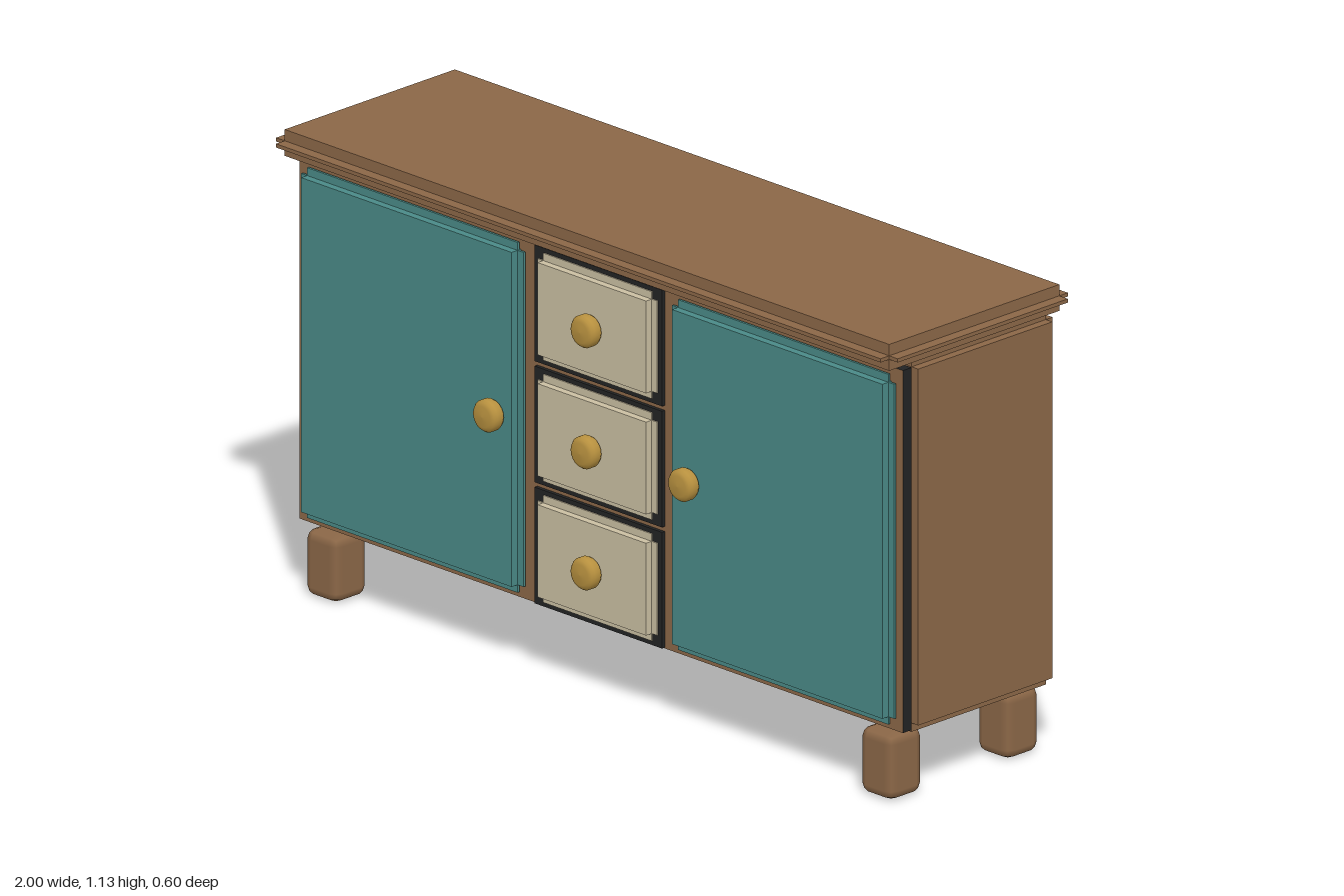
import * as THREE from 'three';
import { RoundedBoxGeometry } from 'three/addons/geometries/RoundedBoxGeometry.js';

const mat = (name, color) => {
  const m = new THREE.MeshStandardMaterial({ color });
  m.name = name;
  return m;
};

export function createModel() {
  const wood = mat('brown wood', 0x8b6747);
  const teal = mat('teal paint', 0x4a8a87);
  const cream = mat('cream paint', 0xcabfa2);
  const dark = mat('dark trim', 0x222324);
  const brass = mat('brass', 0xb8913f);

  const root = new THREE.Group();
  root.name = 'sideboard';

  const add = (name, geometry, material, x, y, z, parent = root) => {
    const mesh = new THREE.Mesh(geometry, material);
    mesh.name = name;
    mesh.position.set(x, y, z);
    parent.add(mesh);
    return mesh;
  };

  // Panel with stepped edges: three crossing boxes, each full size along one axis
  const steppedPanel = (name, material, [w, h, d], [x, y, z], step) => {
    const group = new THREE.Group();
    group.name = name;
    group.position.set(x, y, z);
    const s = 2 * step;
    add(name + 'Sides', new THREE.BoxGeometry(w, h - s, d - s), material, 0, 0, 0, group);
    add(name + 'Ends', new THREE.BoxGeometry(w - s, h, d - s), material, 0, 0, 0, group);
    add(name + 'Faces', new THREE.BoxGeometry(w - s, h - s, d), material, 0, 0, 0, group);
    root.add(group);
  };

  // Carcass and table top
  steppedPanel('carcass', wood, [1.944, 0.907, 0.472], [0, 0.6135, -0.036], 0.021);
  steppedPanel('top', wood, [2, 0.064, 0.6], [0, 1.099, 0], 0.0275);

  // Face frame: brown front with dark edges
  add('faceFrame', new THREE.BoxGeometry(1.942, 0.88, 0.028),
    [dark, dark, dark, dark, wood, dark], 0, 0.615, 0.213);

  // Turned knob, axis along +z
  const knobProfile = [[0, 0], [0.026, 0], [0.035, 0.005], [0.039, 0.012], [0.039, 0.028],
    [0.034, 0.035], [0.025, 0.039], [0, 0.041]].map(([r, y]) => new THREE.Vector2(r, y));
  const knobGeometry = new THREE.LatheGeometry(knobProfile, 20).rotateX(Math.PI / 2);
  const knob = (name, x, y) => add(name, knobGeometry, brass, x, y, 0.256);

  // Doors
  for (const [side, s] of [['left', 1], ['right', -1]]) {
    steppedPanel(side + 'Door', teal, [0.715, 0.85, 0.044], [s * 0.5965, 0.614, 0.235], 0.019);
    knob(side + 'DoorKnob', s * 0.314, 0.615);
  }

  // Drawers with dark surrounds
  [0.318, 0.612, 0.906].forEach((y, i) => {
    const n = 'drawer' + (i + 1);
    add(n + 'Surround', new THREE.BoxGeometry(0.41, 0.282, 0.036), dark, 0, y, 0.218);
    steppedPanel(n, cream, [0.385, 0.26, 0.044], [0, y, 0.235], 0.018);
    knob(n + 'Knob', 0, y - 0.002);
  });

  // Chamfered feet
  const footGeometry = new RoundedBoxGeometry(0.106, 0.162, 0.106, 1, 0.024);
  for (const x of [-0.893, 0.893])
    for (const z of [-0.187, 0.187])
      add('foot', footGeometry, wood, x, 0.081, z);

  return root;
}
